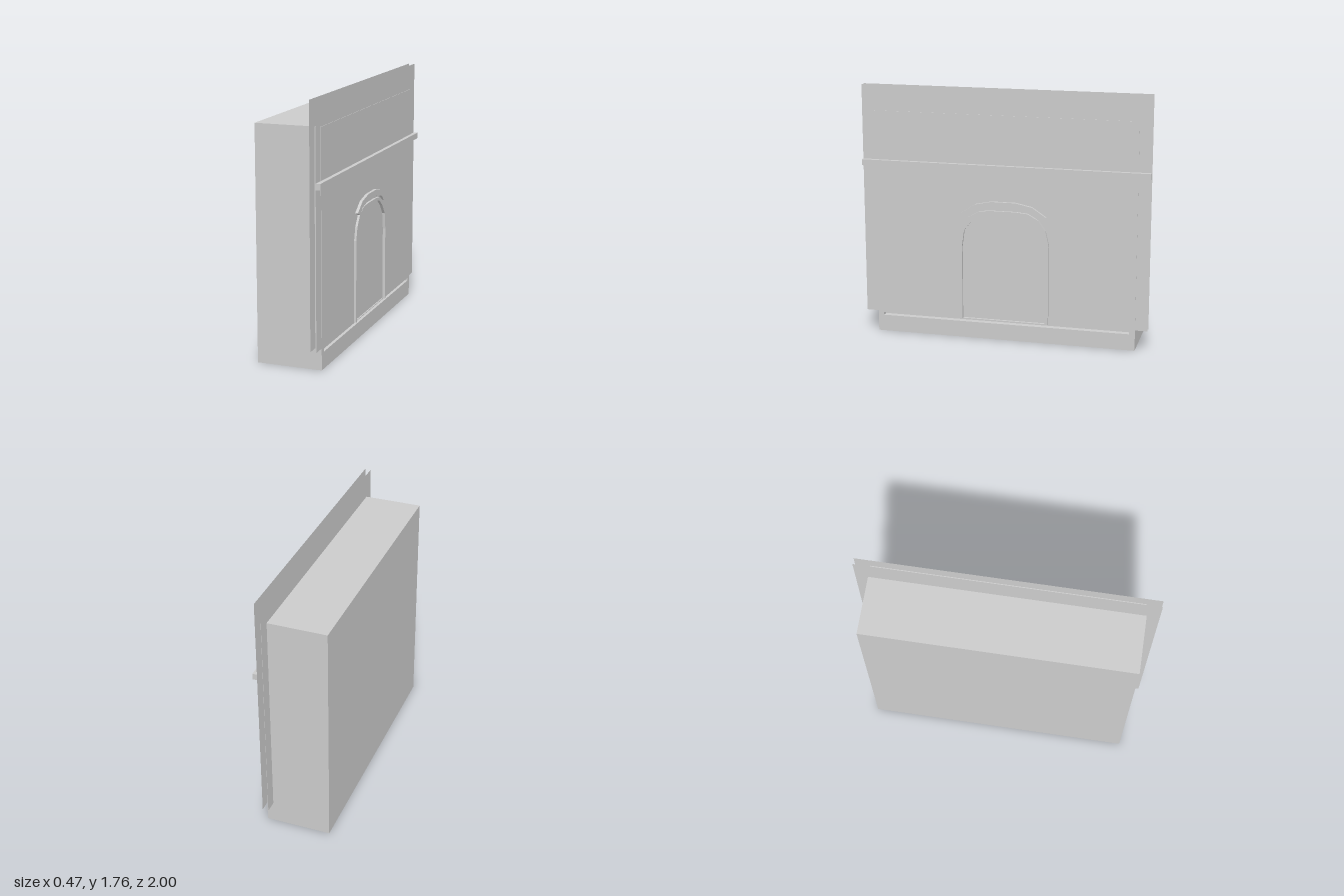
import * as THREE from 'three';

const material = new THREE.MeshStandardMaterial({ color: 0xcccccc, flatShading: true, side: THREE.DoubleSide });

// Right half of the faceted arch, from the foot to the crown: [z, y]
const innerArch = [[0.293, 0.14], [0.293, 0.66], [0.277, 0.777], [0.223, 0.846], [0.16, 0.893], [0.085, 0.908]];
const outerArch = [[0.314, 0.14], [0.314, 0.712], [0.293, 0.803], [0.245, 0.873], [0.17, 0.916], [0.085, 0.924]];
const capLower = [[0.245, 0.877], [0.2, 0.918], [0.085, 0.946]];
const capUpper = [[0.298, 0.898], [0.2, 0.964], [0.085, 0.988]];

// Adds the mirrored half to a half profile
const mirrored = (half) => [...half, ...half.map(([z, y]) => [-z, y]).reverse()];
const toVectors = (points) => points.map(([z, y]) => new THREE.Vector2(z, y));
const rectangle = (halfWidth, y0, y1) =>
  [[-halfWidth, y0], [halfWidth, y0], [halfWidth, y1], [-halfWidth, y1]];

function makeShape(outline, holes = []) {
  const shape = new THREE.Shape(toVectors(outline));
  shape.holes = holes.map((hole) => new THREE.Path(toVectors(hole)));
  return shape;
}

export function createModel() {
  const group = new THREE.Group();

  const add = (name, geometry) => {
    const mesh = new THREE.Mesh(geometry, material);
    mesh.name = name;
    group.add(mesh);
    return mesh;
  };

  // Box given by its limits on each axis
  const box = (name, x0, x1, y0, y1, z0, z1) =>
    add(name, new THREE.BoxGeometry(x1 - x0, y1 - y0, z1 - z0))
      .position.set((x0 + x1) / 2, (y0 + y1) / 2, (z0 + z1) / 2);

  // Profile in the z-y plane, extruded along x
  const slab = (name, shape, x0, x1) => {
    const geometry = new THREE.ExtrudeGeometry(shape, { depth: x1 - x0, bevelEnabled: false });
    geometry.rotateY(Math.PI / 2);
    add(name, geometry).position.x = x0;
  };

  const opening = mirrored(innerArch);

  // Hollow chamber behind the front wall
  box('chamberFloor', -0.24, 0.165, 0, 0.14, -0.915, 0.915);
  box('chamberRoof', -0.24, 0.165, 1.51, 1.58, -0.915, 0.915);
  box('chamberBack', -0.24, -0.17, 0.14, 1.51, -0.915, 0.915);
  for (const side of [-1, 1]) {
    const z = [0.845 * side, 0.915 * side].sort((a, b) => a - b);
    box(side > 0 ? 'leftChamberWall' : 'rightChamberWall', -0.17, 0.165, 0.14, 1.51, z[0], z[1]);
  }

  // Front wall with the arched opening and the narrow slot under it
  slab('frontWall', makeShape(rectangle(0.915, 0, 1.58),
    [opening, rectangle(0.875, 0.115, 0.135)]), 0.165, 0.207);

  // Two thin sheets that stand out past the wall, with a filler between them
  for (const [name, x] of [['backSheet', 0.163], ['frontSheet', 0.204]]) {
    const geometry = new THREE.ShapeGeometry(makeShape(rectangle(1, 0.145, 1.757), [opening]));
    geometry.rotateY(Math.PI / 2);
    add(name, geometry).position.x = x;
  }
  box('sheetFiller', 0.165, 0.203, 1.58, 1.675, -0.9, 0.9);

  // Mantel bar across the front
  box('mantelBar', 0.204, 0.235, 1.198, 1.24, -1, 1);

  // Raised arch trim and the cap over its crown
  slab('archTrim', makeShape([...mirrored(outerArch), ...mirrored(innerArch).reverse()]), 0.205, 0.223);
  slab('archCap', makeShape([...mirrored(capUpper), ...mirrored(capLower).reverse()]), 0.205, 0.227);

  return group;
}
